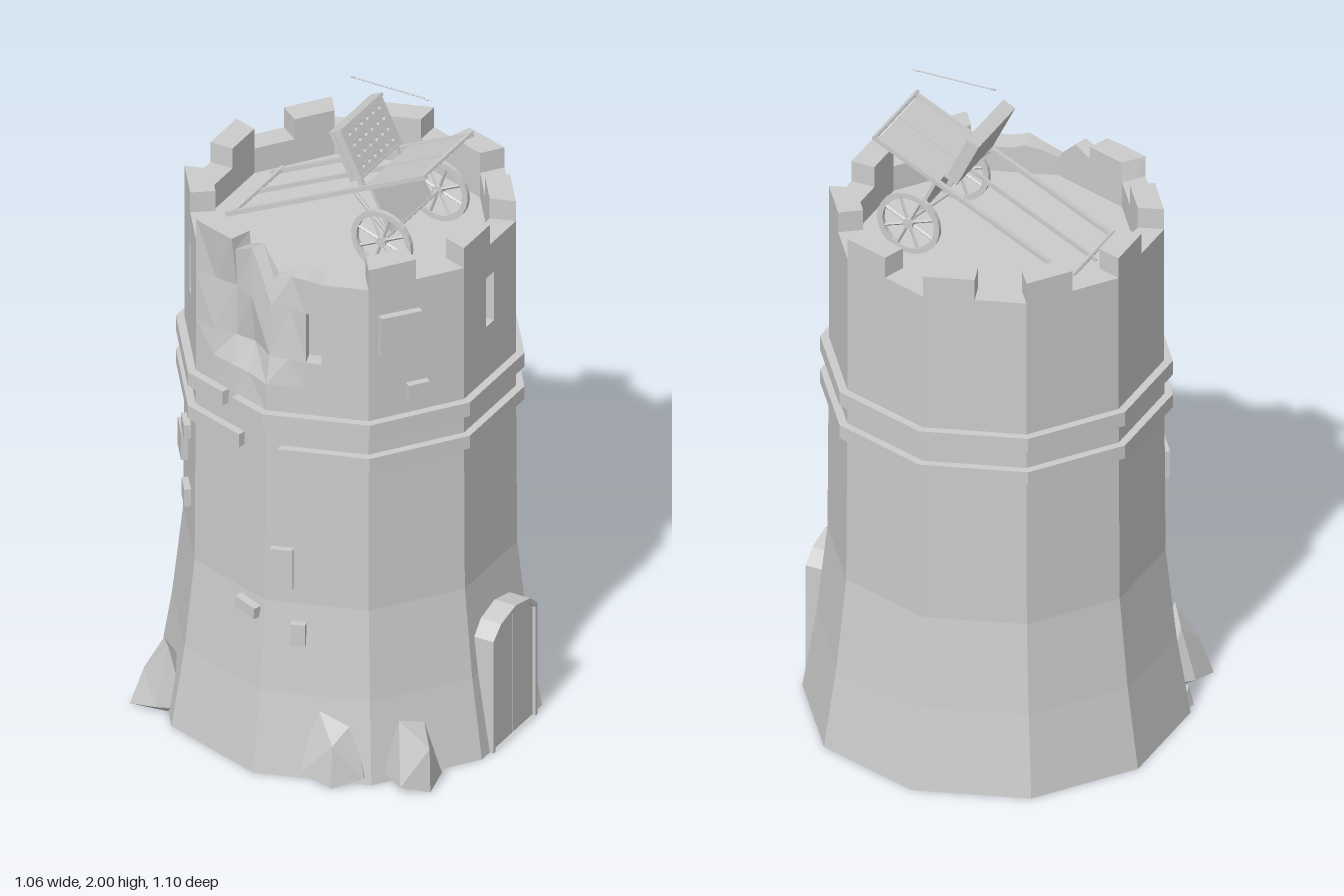
import * as THREE from 'three';

const stone = new THREE.MeshStandardMaterial({ color: 0xcccccc, flatShading: true, side: THREE.DoubleSide });
const pocketMat = new THREE.MeshStandardMaterial({ color: 0xcccccc, flatShading: true, side: THREE.BackSide });
const COS = Math.cos(Math.PI / 10), TAN = Math.tan(Math.PI / 10);
const R = 0.475, INNER = 0.40;

function add(parent, name, geo, x = 0, y = 0, z = 0, mat = stone) {
  const m = new THREE.Mesh(geo, mat);
  m.name = name;
  m.position.set(x, y, z);
  parent.add(m);
  return m;
}
const box = (w, h, d) => new THREE.BoxGeometry(w, h, d);
const points = list => list.map(p => new THREE.Vector2(...p));
function rod(parent, name, a, b, r, sides = 6) {
  const A = new THREE.Vector3(...a), B = new THREE.Vector3(...b), d = B.clone().sub(A);
  const m = add(parent, name, new THREE.CylinderGeometry(r, r, d.length(), sides));
  m.position.copy(A).lerp(B, 0.5);
  m.quaternion.setFromUnitVectors(new THREE.Vector3(0, 1, 0), d.normalize());
}
// Narrow a block towards the tower axis so that its ends are mitred (z = 0 is the outer face)
function mitre(geo, apothem) {
  const p = geo.attributes.position;
  for (let i = 0; i < p.count; i++) p.setX(i, p.getX(i) * (apothem + p.getZ(i)) / apothem);
  geo.computeVertexNormals();
  return geo;
}

// One upper wall panel: the first half of its top is a battlement, the second half a gap
function wallPanel(hasSlit) {
  const h = R * Math.sin(Math.PI / 10), low = 1.58, high = 1.645;
  const s = new THREE.Shape(points([[-h, 1.15], [h, 1.15], [h, low], [0, low], [0, high], [-h, high]]));
  if (hasSlit) s.holes.push(new THREE.Path(points([[-0.023, 1.32], [-0.023, 1.48], [0.023, 1.48], [0.023, 1.32]])));
  const depth = (R - INNER) * COS;
  const g = new THREE.ExtrudeGeometry(s, { depth, bevelEnabled: false });
  g.translate(0, 0, -depth);
  return mitre(g, R * COS);
}

// Battered front wall: a bent sheet of columns, dented outside, with a ragged top
function brokenWall() {
  const xs = [-0.279, -0.21, -0.14, -0.136, -0.075, 0, 0.055, 0.1085, 0.1515, 0.279];
  const tops = [1.645, 1.645, 1.645, 1.605, 1.63, 1.56, 1.58, 1.59, 1.58, 1.58];
  const dents = [ // depth of the damage per column, from the lowest row up
    [0, 0, 0, 0, 0], [0, 0, 0.006, 0.016, 0], [0, 0.004, 0.03, 0.03, 0.004], [0, 0.004, 0.03, 0.03, 0.02],
    [0, 0.008, 0.045, 0.022, 0.03], [0, 0, 0.02, 0.028, 0.045], [0, 0, 0.008, 0.022, 0.03],
  ];
  const ys = [1.15, 1.235, 1.32, 1.48];
  const pos = [], idx = [], n = ys.length + 3, k = INNER / R;
  xs.forEach((x, i) => {
    const z = R - Math.abs(x) * TAN;
    [...ys, tops[i]].forEach((y, j) => pos.push(x, y, z - (dents[i]?.[j] ?? 0)));
    pos.push(x * k, tops[i], z * k, x * k, 1.45, z * k);
  });
  for (let i = 0; i < xs.length - 1; i++) for (let j = 0; j < n - 1; j++) {
    if (i === 7 && j === 2) continue; // arrow slit
    const a = i * n + j, b = a + n;
    if (i % 2) idx.push(a, b, b + 1, a, b + 1, a + 1);
    else idx.push(a, b, a + 1, b, b + 1, a + 1);
  }
  const g = new THREE.BufferGeometry();
  g.setAttribute('position', new THREE.Float32BufferAttribute(pos, 3));
  g.setIndex(idx);
  g.computeVertexNormals();
  return g;
}

function archShape(w, side, top) {
  const shoulder = (side + 2 * top) / 3;
  return points([[-w, 0], [w, 0], [w, side], [w * 0.65, shoulder], [0, top], [-w * 0.65, shoulder], [-w, side]]);
}

// A rock: a jittered lump, spread out where it sits on the ground
function makeRock(parent, x, z, sx, top, sz, seed) {
  const g = new THREE.IcosahedronGeometry(1, 0), p = g.attributes.position;
  for (let i = 0; i < p.count; i++) {
    const [a, b, c] = [p.getX(i), p.getY(i), p.getZ(i)];
    const k = 1 + 0.14 * Math.sin(seed * 7 + Math.round(a * 10) * 1.7 + Math.round(b * 10) * 2.9 + Math.round(c * 10) * 4.1);
    const spread = b < 0 ? 1.3 : 1;
    p.setXYZ(i, a * k * sx * spread, Math.max(0, (b * k + 0.1) * top), c * k * sz * spread);
  }
  g.computeVertexNormals();
  add(parent, 'rock', g, x, 0, z).rotation.y = seed;
}

function makeTower() {
  const tower = new THREE.Group();
  tower.name = 'tower';
  tower.position.x = -0.005;
  const profile = points([[0.55, 0], [0.51, 0.25], [0.479, 0.53], [R, 1.15]]);
  add(tower, 'flaredWall', new THREE.LatheGeometry(profile, 10));
  add(tower, 'brokenFrontWall', brokenWall());
  add(tower, 'roofDeck', new THREE.CylinderGeometry(0.42, 0.42, 0.04, 10), 0, 1.48, 0);

  // Faces run round from the front; each has its own frame with +z outwards
  const faces = [];
  for (let j = 0; j < 10; j++) {
    const f = new THREE.Group();
    f.name = 'wallFace';
    f.rotation.y = (0.5 + j) * Math.PI / 5;
    tower.add(f);
    faces.push(f);
    if (j > 0 && j < 9) add(f, 'battlementPanel', wallPanel(j === 2 || j === 8), 0, 0, R * COS);
    // Two stone bands, broken at the front
    const half = 0.5 * Math.sin(Math.PI / 10), full = [[-half, half]];
    const upper = j === 9 ? [[-half, -0.01], [0.03, half]] : full;
    const lower = j === 9 ? [[-half, 0.06]] : j === 0 ? [[-0.11, half]] : full;
    for (const [list, y, h] of [[upper, 1.128, 0.045], [lower, 1.02, 0.042]]) for (const [a, b] of list) {
      const g = box(b - a, h, 0.05).translate((a + b) / 2, 0, -0.025);
      add(f, 'stoneBand', mitre(g, 0.5 * COS), 0, y, 0.5 * COS);
    }
  }
  // Arrow slits
  for (const j of [0, 2, 8]) add(faces[j], 'arrowSlit', box(0.046, 0.16, 0.045), j ? 0 : -0.01, 1.4, R * COS - 0.0226, pocketMat);

  // Projecting bricks: face, offset along it, height, width, tall, tilt
  const bricks = [
    [8, 0, 0.88, 0.07, 0.045, 0], [8, -0.08, 0.79, 0.085, 0.09, 0], [8, 0.01, 0.67, 0.07, 0.055, 0],
    [0, -0.1, 0.645, 0.065, 0.13, 0], [9, 0.09, 0.49, 0.08, 0.036, -0.1], [0, -0.05, 0.44, 0.042, 0.07, 0],
    [1, -0.055, 1.425, 0.125, 0.125, -0.03], [1, 0, 1.22, 0.065, 0.058, 0],
  ];
  for (const [j, x, y, w, h, tilt] of bricks)
    add(faces[j], 'brick', box(w, h, 0.06), x, y, (y < 0.53 ? 0.487 : 0.477) * COS - 0.01).rotation.z = tilt;

  // Arched door
  const arch = new THREE.Shape(archShape(0.125, 0.365, 0.42));
  arch.holes.push(new THREE.Path(archShape(0.114, 0.355, 0.407)));
  add(faces[2], 'doorFrame', new THREE.ExtrudeGeometry(arch, { depth: 0.105, bevelEnabled: false }), 0, 0, 0.43);
  for (const s of [-1, 1]) {
    const leaf = new THREE.Shape(points([[0.002, 0], [0.114, 0], [0.114, 0.355], [0.074, 0.389], [0.002, 0.407]].map(([x, y]) => [s * x, y])));
    add(faces[2], 'doorLeaf', new THREE.ExtrudeGeometry(leaf, { depth: 0.094, bevelEnabled: false }), 0, 0, 0.43);
  }
  // Fallen rocks
  makeRock(tower, 0.21, 0.44, 0.10, 0.21, 0.08, 0.3);
  makeRock(tower, 0.405, 0.355, 0.085, 0.21, 0.095, 1.1);
  makeRock(tower, -0.405, 0.335, 0.085, 0.2, 0.08, 2.2);
  makeRock(tower, -0.49, 0.2, 0.025, 0.07, 0.025, 0.7);
  return tower;
}

function makeCart() {
  const cart = new THREE.Group();
  cart.name = 'rocketCart';
  cart.position.set(0.1, 1.727, 0);
  cart.rotation.z = 0.455;
  // Long shafts, crossbars and bed
  for (const z of [-0.13, 0, 0.13]) add(cart, 'shaft', box(z ? 0.72 : 0.69, 0.013, z ? 0.014 : 0.008), -0.12, 0, z);
  for (const x of [-0.445, 0.235]) rod(cart, 'crossbar', [x, 0.005, -0.14], [x, 0.005, 0.14], 0.007);
  add(cart, 'bed', box(0.21, 0.008, 0.25), 0.12, 0, 0);
  // Launcher block with rows of holes
  const s = new THREE.Shape(points([[-0.115, -0.075], [0.115, -0.075], [0.115, 0.075], [-0.115, 0.075]]));
  for (let i = 0; i < 6; i++) for (let k = 0; k < 4; k++)
    s.holes.push(new THREE.Path().absarc((i - 2.5) * 0.033, (k - 1.5) * 0.034, 0.007, 0, Math.PI * 2, true));
  const plate = new THREE.ExtrudeGeometry(s, { depth: 0.03, bevelEnabled: false, curveSegments: 4 });
  add(cart, 'launcherFace', plate.rotateY(Math.PI / 2), -0.022, 0.1, 0);
  add(cart, 'launcherBack', box(0.014, 0.154, 0.234), -0.024, 0.1, 0);
  for (const y of [0.025, 0.175]) add(cart, 'launcherRim', box(0.042, 0.008, 0.238), -0.01, y, 0);
  for (const z of [-0.1, 0.1]) add(cart, 'launcherLeg', box(0.016, 0.03, 0.012), -0.01, 0.01, z);
  // Axle, struts and wheels
  const ax = 0.025, ay = -0.154;
  rod(cart, 'axle', [ax, ay, -0.172], [ax, ay, 0.172], 0.007);
  add(cart, 'supportBoard', box(0.01, 0.15, 0.23), 0.025, -0.075, 0);
  const ring = new THREE.Shape().absarc(0, 0, 0.097, 0, Math.PI * 2);
  ring.holes.push(new THREE.Path().absarc(0, 0, 0.08, 0, Math.PI * 2, true));
  for (const side of [-1, 1]) {
    rod(cart, 'strut', [ax, ay, side * 0.122], [-0.03, 0, side * 0.122], 0.006);
    const wheel = new THREE.Group();
    wheel.name = 'wheel';
    wheel.position.set(ax, ay, side * 0.16);
    cart.add(wheel);
    add(wheel, 'rim', new THREE.ExtrudeGeometry(ring, { depth: 0.014, bevelEnabled: false, curveSegments: 12 }), 0, 0, -0.007);
    add(wheel, 'hub', new THREE.CylinderGeometry(0.016, 0.016, 0.022, 8).rotateX(Math.PI / 2));
    for (let i = 0; i < 8; i++) {
      const a = i * Math.PI / 4;
      rod(wheel, 'spoke', [0, 0, 0], [0.085 * Math.cos(a), 0.085 * Math.sin(a), 0], 0.005, 4);
    }
  }
  return cart;
}

export function createModel() {
  const model = new THREE.Group();
  model.name = 'ruinedTower';
  model.add(makeTower(), makeCart());
  // Arrow in flight above the cart
  rod(model, 'arrowShaft', [0, 1.997, 0], [0.245, 1.997, 0], 0.002, 5);
  add(model, 'arrowHead', new THREE.ConeGeometry(0.004, 0.02, 4).rotateZ(-Math.PI / 2), 0.25, 1.996, 0);
  add(model, 'arrowTail', box(0.012, 0.006, 0.002), 0.005, 1.997, 0);
  return model;
}
